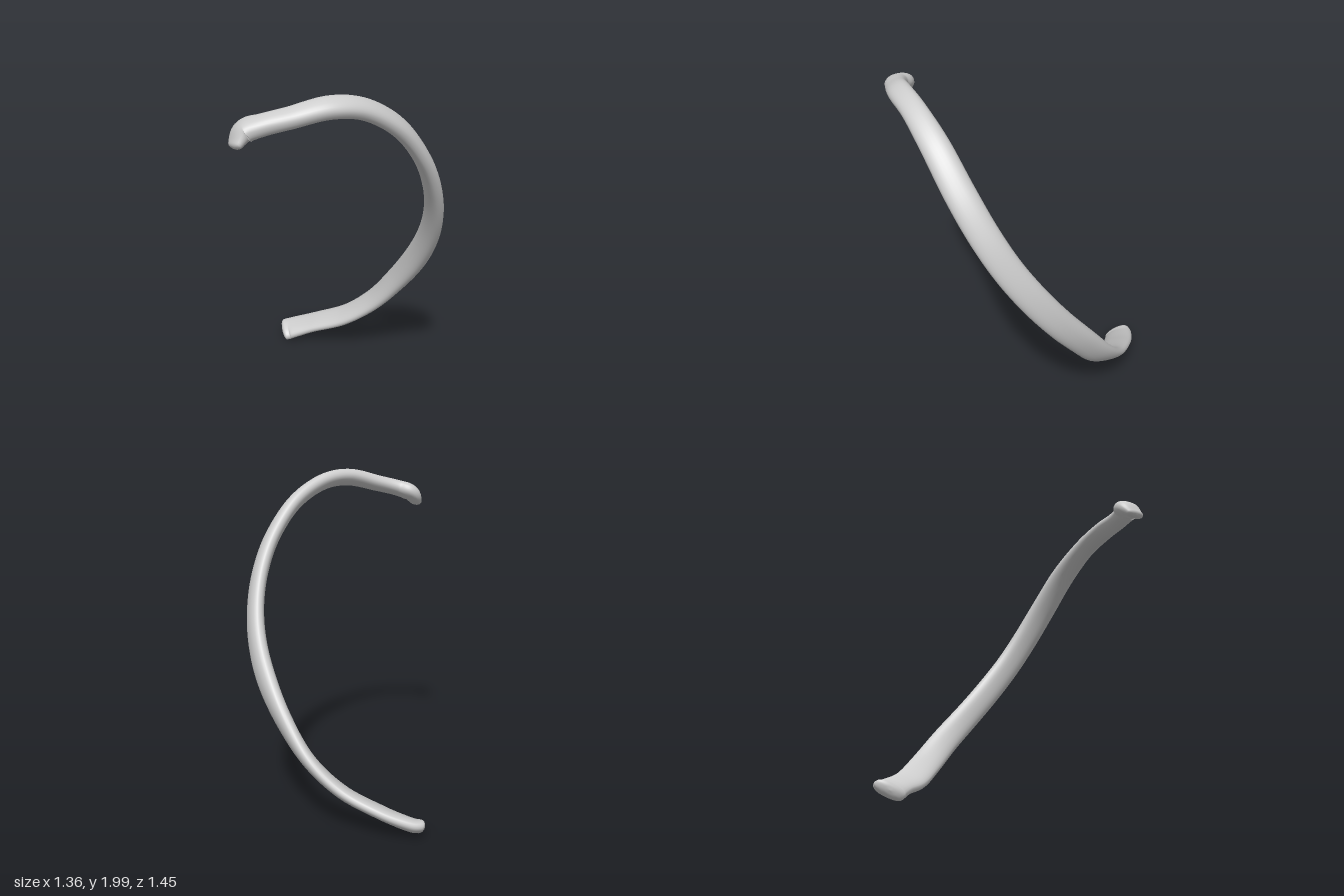
import * as THREE from 'three';

// Stations along the rib: centre x, y, z, half width, half thickness, width direction x, y, z
const STATIONS = [
  [0.025, 0.06, -0.648, 0.084, 0.038, -0.3, -0.46, 0.83],
  [0.08, 0.077, -0.628, 0.092, 0.04, -0.5, -0.4, 0.77],
  [0.208, 0.138, -0.54, 0.094, 0.037, -0.62, -0.34, 0.71],
  [0.375, 0.237, -0.385, 0.094, 0.038, -0.56, -0.37, 0.74],
  [0.508, 0.392, -0.235, 0.09, 0.041, -0.4, -0.44, 0.8],
  [0.587, 0.59, -0.075, 0.086, 0.045, -0.18, -0.52, 0.84],
  [0.624, 0.8, 0.098, 0.085, 0.049, 0, -0.55, 0.83],
  [0.62, 1.0, 0.249, 0.085, 0.048, 0, -0.55, 0.83],
  [0.577, 1.2, 0.379, 0.084, 0.046, 0, -0.53, 0.84],
  [0.5, 1.4, 0.48, 0.084, 0.046, 0, -0.5, 0.86],
  [0.383, 1.6, 0.557, 0.083, 0.046, 0, -0.46, 0.89],
  [0.21, 1.793, 0.614, 0.078, 0.047, 0, -0.46, 0.89],
  [0, 1.915, 0.652, 0.068, 0.047, 0, -0.48, 0.87],
  [-0.2, 1.946, 0.665, 0.066, 0.047, 0, -0.48, 0.87],
  [-0.4, 1.905, 0.633, 0.062, 0.047, 0, -0.38, 0.92],
  [-0.53, 1.874, 0.597, 0.066, 0.049, 0, -0.2, 0.97],
  [-0.605, 1.843, 0.56, 0.087, 0.051, 0, 0.02, 1],
  [-0.658, 1.784, 0.572, 0.064, 0.027, 0, 0.05, 1],
];
const SIDES = 28;
const STEPS = 170;

const curveOf = (pick) =>
  new THREE.CatmullRomCurve3(STATIONS.map((s) => new THREE.Vector3(...pick(s))), false, 'catmullrom', 0.5);

function ribGeometry() {
  const centre = curveOf((s) => [s[0], s[1], s[2]]);
  const size = curveOf((s) => [s[3], s[4], 0]);
  const width = curveOf((s) => [s[5], s[6], s[7]]);
  const positions = [];
  const indices = [];
  let rings = 0;

  // One flattened oval ring; scale and push shape the rounded ends
  const soft = (v) => Math.sign(v) * Math.abs(v) ** 0.88;
  const addRing = (u, scale = 1, push = 0) => {
    const t = centre.getTangent(u);
    const c = centre.getPoint(u).addScaledVector(t, push);
    const s = size.getPoint(u);
    const w = width.getPoint(u);
    w.addScaledVector(t, -w.dot(t)).normalize();
    const b = new THREE.Vector3().crossVectors(t, w);
    for (let j = 0; j < SIDES; j++) {
      const a = (j / SIDES) * Math.PI * 2;
      const p = c.clone()
        .addScaledVector(w, s.x * scale * soft(Math.cos(a)))
        .addScaledVector(b, s.y * scale * soft(Math.sin(a)));
      positions.push(p.x, p.y, p.z);
    }
    rings++;
  };

  const cap = [[0.001, 0.02], [0.4, 0.018], [0.7, 0.014], [0.9, 0.007]];
  cap.forEach(([k, d]) => addRing(0, k, -d));
  for (let i = 0; i <= STEPS; i++) addRing(i / STEPS);
  cap.slice().reverse().forEach(([k, d]) => addRing(1, k, d));

  for (let i = 0; i < rings - 1; i++) {
    for (let j = 0; j < SIDES; j++) {
      const k = (j + 1) % SIDES;
      const a = i * SIDES + j, b = i * SIDES + k;
      indices.push(a, b, a + SIDES, b, b + SIDES, a + SIDES);
    }
  }
  const geometry = new THREE.BufferGeometry();
  geometry.setAttribute('position', new THREE.Float32BufferAttribute(positions, 3));
  geometry.setIndex(indices);
  geometry.computeVertexNormals();
  return geometry;
}

export function createModel() {
  const group = new THREE.Group();
  group.name = 'ribBone';
  const bone = new THREE.MeshStandardMaterial({ color: 0xcccccc });
  bone.name = 'bone grey';
  const rib = new THREE.Mesh(ribGeometry(), bone);
  rib.name = 'rib';
  group.add(rib);
  return group;
}
